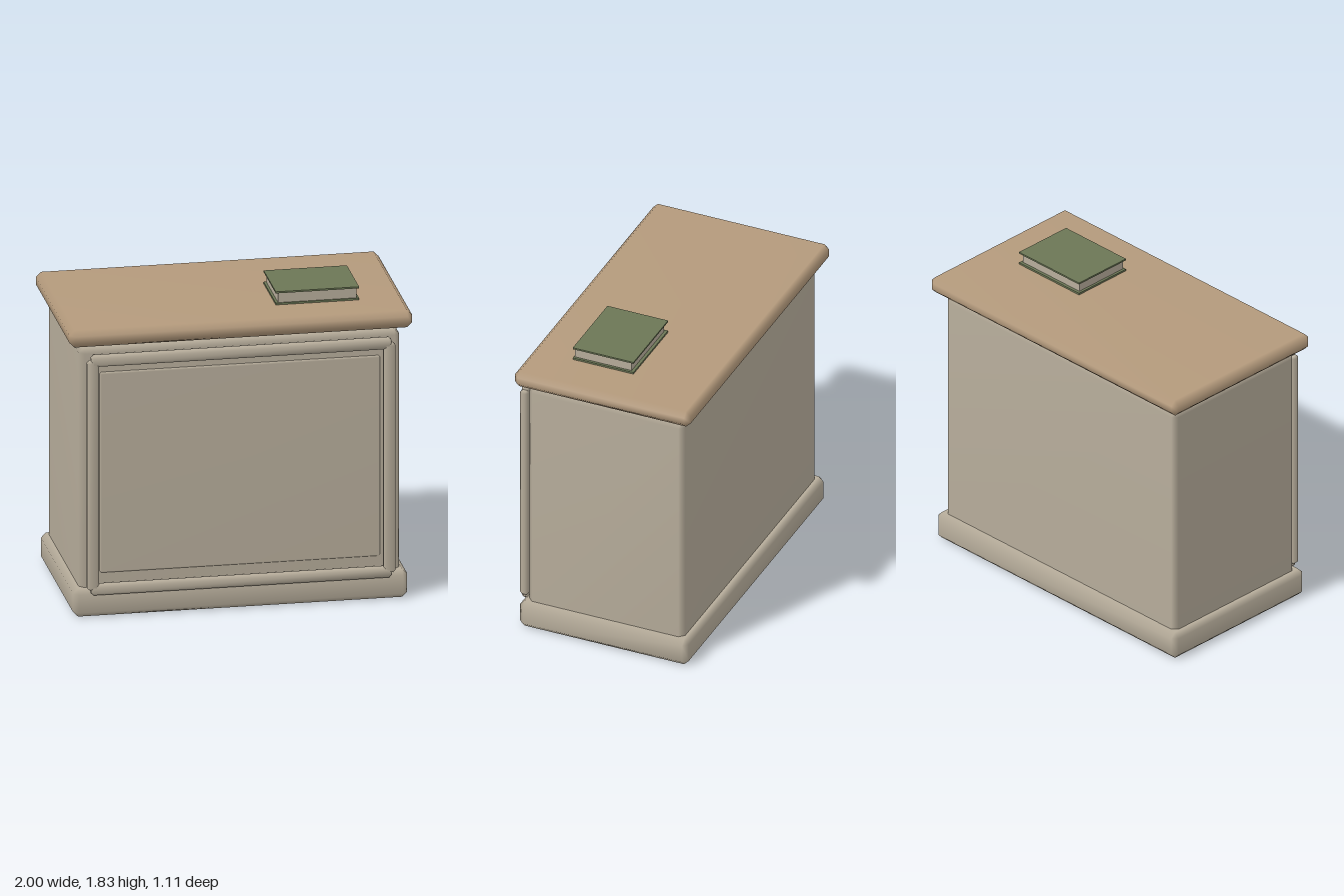
import * as THREE from 'three';
import { mergeVertices } from 'three/addons/utils/BufferGeometryUtils.js';
import { ConvexGeometry } from 'three/addons/geometries/ConvexGeometry.js';

const material = (name, color) => {
  const m = new THREE.MeshStandardMaterial({ color });
  m.name = name;
  return m;
};

// Box with one cut along every edge and smooth normals
function bevelBox(w, h, d, c) {
  const points = [];
  const [x, y, z] = [w / 2, h / 2, d / 2];
  for (const sx of [-1, 1]) for (const sy of [-1, 1]) for (const sz of [-1, 1]) {
    points.push(
      new THREE.Vector3(sx * x, sy * (y - c), sz * (z - c)),
      new THREE.Vector3(sx * (x - c), sy * y, sz * (z - c)),
      new THREE.Vector3(sx * (x - c), sy * (y - c), sz * z)
    );
  }
  const hull = new ConvexGeometry(points);
  hull.deleteAttribute('normal');
  const geometry = mergeVertices(hull);
  geometry.computeVertexNormals();
  return geometry;
}

export function createModel() {
  const model = new THREE.Group();
  model.name = 'cabinet';
  const paint = material('greige paint', 0xb7ad9b);
  const wood = material('light wood', 0xb49a7c);
  const green = material('green cover', 0x6c7756);

  // Adds a box given its [min, max] on each axis; bevel 0 keeps it sharp
  function part(name, mat, [x0, x1], [y0, y1], [z0, z1], bevel = 0, parent = model) {
    const size = [x1 - x0, y1 - y0, z1 - z0];
    const geometry = bevel ? bevelBox(...size, bevel) : new THREE.BoxGeometry(...size);
    const mesh = new THREE.Mesh(geometry, mat);
    mesh.name = name;
    mesh.position.set((x0 + x1) / 2, (y0 + y1) / 2, (z0 + z1) / 2);
    parent.add(mesh);
  }

  // Carcass, plinth and worktop
  part('plinth', paint, [-0.975, 0.975], [0, 0.17], [-0.53, 0.53], 0.03);
  part('body', paint, [-0.935, 0.935], [0.1, 1.617], [-0.49, 0.49], 0.03);
  part('worktop', wood, [-1, 1], [1.642, 1.745], [-0.554, 0.552], 0.03);

  // Front panel and its raised frame
  part('frontPanel', paint, [-0.818, 0.818], [0.256, 1.472], [0.475, 0.504], 0.01);
  const frame = new THREE.Group();
  frame.name = 'frontFrame';
  model.add(frame);
  const depth = [0.506, 0.557];
  part('topRail', paint, [-0.877, 0.877], [1.523, 1.591], depth, 0.015, frame);
  part('bottomRail', paint, [-0.877, 0.877], [0.137, 0.203], depth, 0.015, frame);
  part('leftStile', paint, [0.83, 0.9], [0.168, 1.56], depth, 0.015, frame);
  part('rightStile', paint, [-0.9, -0.83], [0.168, 1.56], depth, 0.015, frame);

  // Book lying on the worktop
  const book = new THREE.Group();
  book.name = 'book';
  model.add(book);
  part('bottomCover', green, [0.247, 0.733], [1.745, 1.756], [-0.087, 0.294], 0, book);
  part('pages', paint, [0.262, 0.718], [1.756, 1.815], [-0.069, 0.286], 0, book);
  part('topCover', green, [0.247, 0.733], [1.815, 1.825], [-0.087, 0.294], 0, book);

  return model;
}
